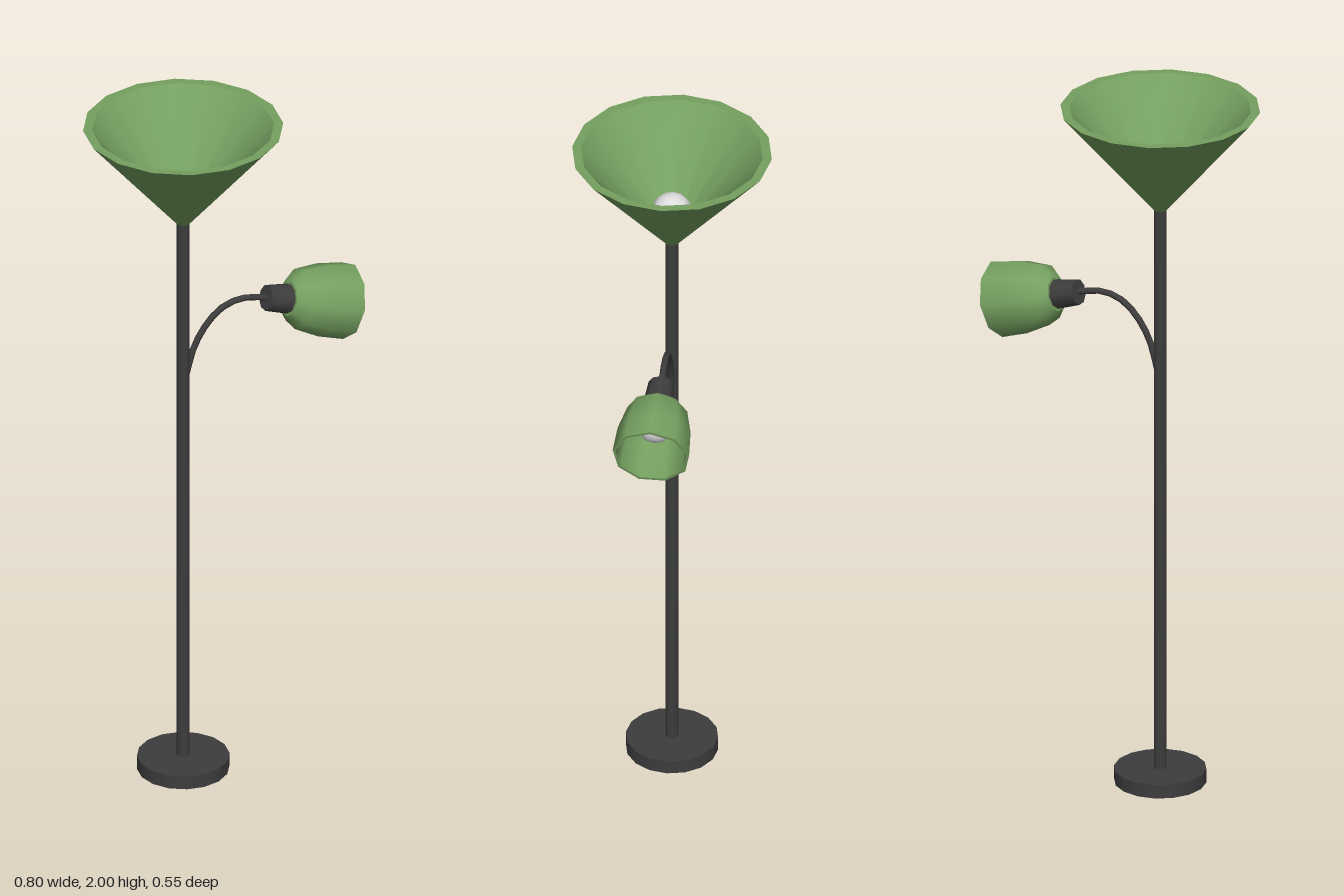
import * as THREE from 'three';
import { mergeGeometries } from 'three/addons/utils/BufferGeometryUtils.js';

const POLE_X = -0.128;

// Lathe whose separate profile strips meet at sharp edges
function latheStrips(strips, sides, phiStart = 0) {
  return mergeGeometries(strips.map((strip) => new THREE.LatheGeometry(
    strip.map(([r, y]) => new THREE.Vector2(r, y)), sides, phiStart)));
}

export function createModel() {
  const green = new THREE.MeshStandardMaterial({ name: 'shade green', color: 0x75a060 });
  const dark = new THREE.MeshStandardMaterial({ name: 'dark metal', color: 0x3d3d3d });
  const white = new THREE.MeshStandardMaterial({ name: 'bulb white', color: 0xdedede });

  const lamp = new THREE.Group();
  lamp.name = 'floorLamp';

  function add(parent, name, geometry, material, x = 0, y = 0) {
    const mesh = new THREE.Mesh(geometry, material);
    mesh.name = name;
    mesh.position.set(x, y, 0);
    parent.add(mesh);
    return mesh;
  }

  // Base and pole
  add(lamp, 'base', new THREE.CylinderGeometry(0.127, 0.127, 0.04, 16), dark, POLE_X, 0.02);
  add(lamp, 'pole', new THREE.CylinderGeometry(0.018, 0.018, 1.69, 10), dark, POLE_X, 0.865);

  // Upward cone shade with a flat rim and a hollow inside
  const coneShade = latheStrips([
    [[0, 1.7], [0.018, 1.7]],
    [[0.018, 1.7], [0.275, 2]],
    [[0.275, 2], [0.25, 2]],
    [[0.25, 2], [0.012, 1.722], [0, 1.722]],
  ], 16);
  add(lamp, 'mainShade', coneShade, green, POLE_X);
  add(lamp, 'mainBulb', new THREE.SphereGeometry(0.057, 10, 8), white, POLE_X, 1.8);

  // Curved arm
  const armPath = new THREE.CatmullRomCurve3([
    [-0.118, 1.225], [-0.092, 1.31], [-0.045, 1.378], [0.003, 1.411], [0.06, 1.419], [0.135, 1.401],
  ].map(([x, y]) => new THREE.Vector3(x, y, 0)));
  add(lamp, 'arm', new THREE.TubeGeometry(armPath, 10, 0.009, 8), dark);

  // Reading light, built along its own +y axis and then tilted down
  const reading = new THREE.Group();
  reading.name = 'readingLight';
  reading.position.set(0.127, 1.402, 0);
  reading.rotation.z = -THREE.MathUtils.degToRad(105.7);
  lamp.add(reading);

  add(reading, 'socket', new THREE.CylinderGeometry(0.043, 0.036, 0.085, 9, 1, false, -Math.PI / 2),
    dark, 0, 0.0425);

  const smallShade = latheStrips([
    [[0, 0.07], [0.05, 0.07]],
    [[0.05, 0.07], [0.084, 0.1], [0.102, 0.175], [0.107, 0.255]],
    [[0.107, 0.255], [0.099, 0.255]],
    [[0.099, 0.255], [0.094, 0.175], [0.077, 0.104], [0.046, 0.078], [0, 0.078]],
  ], 9, -Math.PI / 2);
  add(reading, 'readingShade', smallShade, green);
  add(reading, 'readingBulb', new THREE.SphereGeometry(0.054, 10, 8), white, 0, 0.138);

  return lamp;
}
